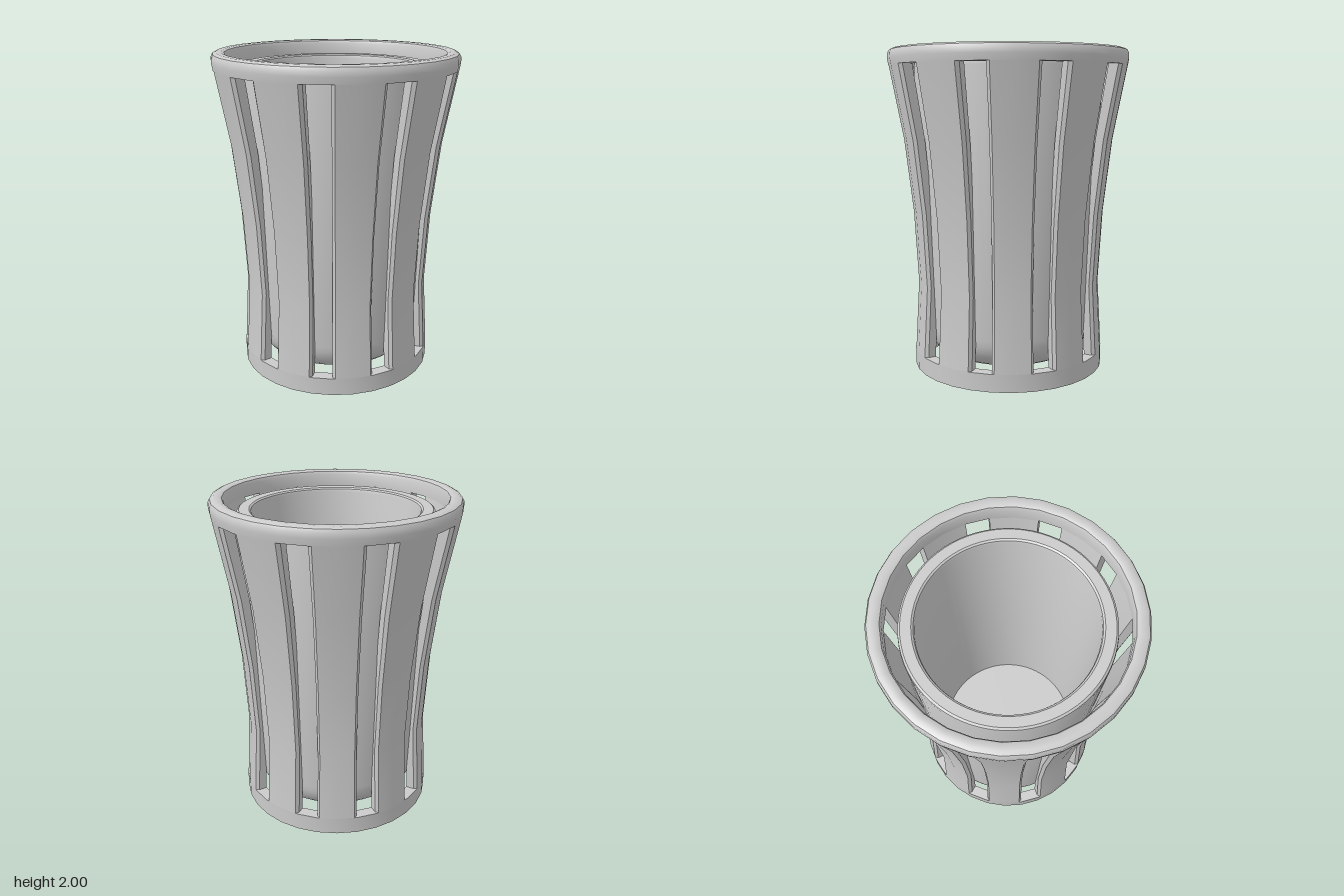
import * as THREE from 'three';
import { toCreasedNormals } from 'three/addons/utils/BufferGeometryUtils.js';

const material = new THREE.MeshStandardMaterial({ color: 0xcccccc });
const rad = THREE.MathUtils.degToRad;

function addMesh(parent, name, geometry, crease = 0.5) {
  const mesh = new THREE.Mesh(toCreasedNormals(geometry, crease), material);
  mesh.name = name;
  parent.add(mesh);
  return mesh;
}

// Turned part from [radius, height] pairs
function turned(points, segments, start = 0) {
  return new THREE.LatheGeometry(points.map(([r, y]) => new THREE.Vector2(r, y)), segments, start);
}

// Rows of the waisted sleeve: [height, outer radius, inner radius]
const rows = [
  [0.11, 0.605, 0.535],
  [0.55, 0.58, 0.515],
  [1.0, 0.605, 0.54],
  [1.45, 0.657, 0.585],
  [1.9, 0.742, 0.66],
];

// One rib between two slots: 24 degrees wide, chamfered along its outer edges
function ribGeometry() {
  const chamfer = 1.6;
  const chord = Math.cos(rad(6)) / Math.cos(rad(6 - chamfer));
  const positions = [];
  const index = [];
  for (const [y, outer, inner] of rows) {
    const section = [
      [-12, outer - 0.02], [-12 + chamfer, outer * chord], [0, outer],
      [12 - chamfer, outer * chord], [12, outer - 0.02],
      [12, inner], [0, inner], [-12, inner],
    ];
    for (const [angle, r] of section) {
      positions.push(r * Math.sin(rad(angle)), y, r * Math.cos(rad(angle)));
    }
  }
  const n = 8;
  for (let j = 0; j < rows.length - 1; j++) {
    for (let i = 0; i < n; i++) {
      const a = j * n + i;
      const b = j * n + (i + 1) % n;
      index.push(a, b, b + n, a, b + n, a + n);
    }
  }
  const geometry = new THREE.BufferGeometry();
  geometry.setAttribute('position', new THREE.Float32BufferAttribute(positions, 3));
  geometry.setIndex(index);
  return geometry;
}

export function createModel() {
  const model = new THREE.Group();
  model.name = 'slottedCup';

  // Outer sleeve: two rings joined by ten ribs
  const sleeve = new THREE.Group();
  sleeve.name = 'sleeve';
  model.add(sleeve);
  addMesh(sleeve, 'bottomRing', turned(
    [[0.535, 0], [0.605, 0], [0.605, 0.11], [0.535, 0.11], [0.535, 0]], 30, rad(6)));
  addMesh(sleeve, 'topRing', turned([
    [0.66, 1.9], [0.742, 1.9], [0.749, 1.94], [0.748, 1.97], [0.738, 1.99], [0.718, 2],
    [0.685, 2], [0.669, 1.993], [0.661, 1.975], [0.66, 1.9],
  ], 30, rad(6)));
  const rib = ribGeometry();
  for (let k = 0; k < 10; k++) {
    addMesh(sleeve, 'rib', rib).rotation.y = rad(30 + 36 * k);
  }

  // Inner cup with a rounded base, softened lip and flat floor
  const profile = [[0, 0.08]];
  for (let i = 0; i <= 8; i++) {
    const t = (i / 8) * Math.PI / 2;
    profile.push([0.33 + 0.2 * Math.sin(t), 0.28 - 0.2 * Math.cos(t)]);
  }
  profile.push(
    [0.588, 1.89], [0.585, 1.91], [0.573, 1.92],
    [0.514, 1.92], [0.503, 1.912], [0.498, 1.895],
    [0.45, 0.18], [0, 0.18],
  );
  addMesh(model, 'innerCup', turned(profile, 72));

  return model;
}
